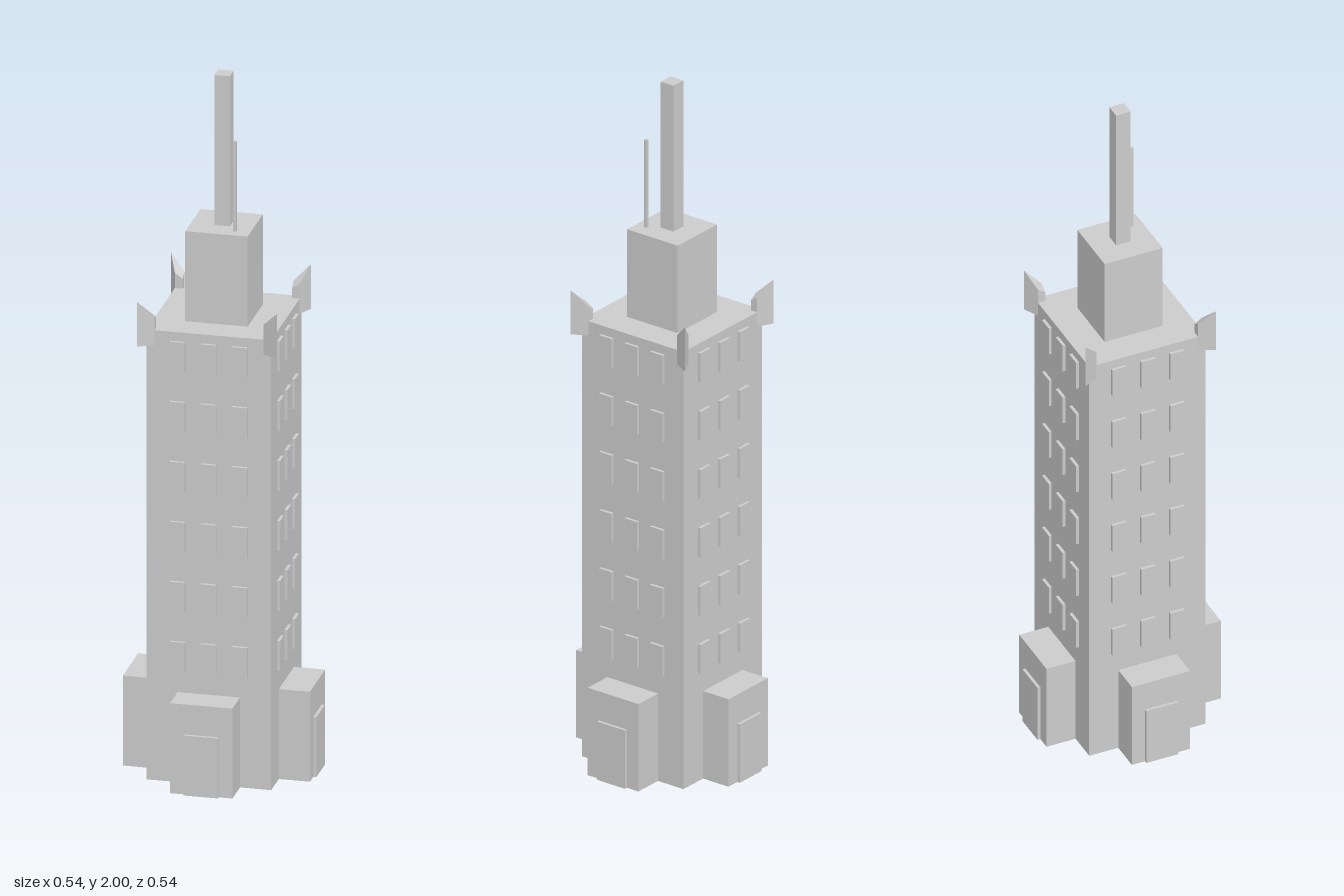
import * as THREE from 'three';

const U = 2 / 46; // one design unit; the tower is 46 units tall
const grey = new THREE.MeshStandardMaterial({ color: 0xcccccc, flatShading: true });

// Box given by size and centre in x/z, standing on height y (all in design units)
function block(name, w, h, d, x, y, z) {
  const geo = new THREE.BoxGeometry(w * U, h * U, d * U);
  const mesh = new THREE.Mesh(geo, grey);
  mesh.position.set(x * U, (y + h / 2) * U, z * U);
  mesh.name = name;
  return mesh;
}

// Kite-shaped corner ornament whose top slopes up towards the outer tip
function cornerGeometry() {
  const kite = new THREE.Shape([
    new THREE.Vector2(3.5, 3.5),
    new THREE.Vector2(4, 3.5),
    new THREE.Vector2(4.5, 4.5),
    new THREE.Vector2(3.5, 4),
  ]);
  const geo = new THREE.ExtrudeGeometry(kite, { depth: 1, bevelEnabled: false });
  geo.rotateX(-Math.PI / 2);
  const p = geo.attributes.position;
  for (let i = 0; i < p.count; i++) {
    const outward = p.getX(i) - p.getZ(i);
    p.setY(i, p.getY(i) > 0.5 ? 32 - (9 - outward) * (2 / 3) : 29);
  }
  geo.scale(U, U, U);
  geo.computeVertexNormals();
  return geo;
}

export function createModel() {
  const model = new THREE.Group();
  model.name = 'tower';

  // Stacked central blocks
  model.add(block('shaft', 8, 30, 8, 0, 0, 0));
  model.add(block('upperBlock', 4, 6, 4, 0, 30, 0));
  model.add(block('spire', 1, 10, 1, 0, 36, 0));
  model.add(block('antenna', 0.2, 6, 0.2, 1, 36, 1.25));

  // Four identical sides: porch, door, windows and a corner ornament
  const cornerGeo = cornerGeometry();
  for (let s = 0; s < 4; s++) {
    const side = new THREE.Group();
    side.name = ['front', 'left', 'back', 'right'][s] + 'Side';
    side.rotation.y = (s * Math.PI) / 2;

    side.add(block('porch', 4, 6, 2, 0, 0, 5));
    side.add(block('door', 2.2, 4, 0.2, 0, 0, 6.1));

    for (let row = 0; row < 6; row++) {
      for (let col = -1; col <= 1; col++) {
        side.add(block('window', 1, 2, 0.2, col * 2, 7.4 + row * 4, 4.1));
      }
    }

    const corner = new THREE.Mesh(cornerGeo, grey);
    corner.name = 'cornerOrnament';
    side.add(corner);
    model.add(side);
  }
  return model;
}
